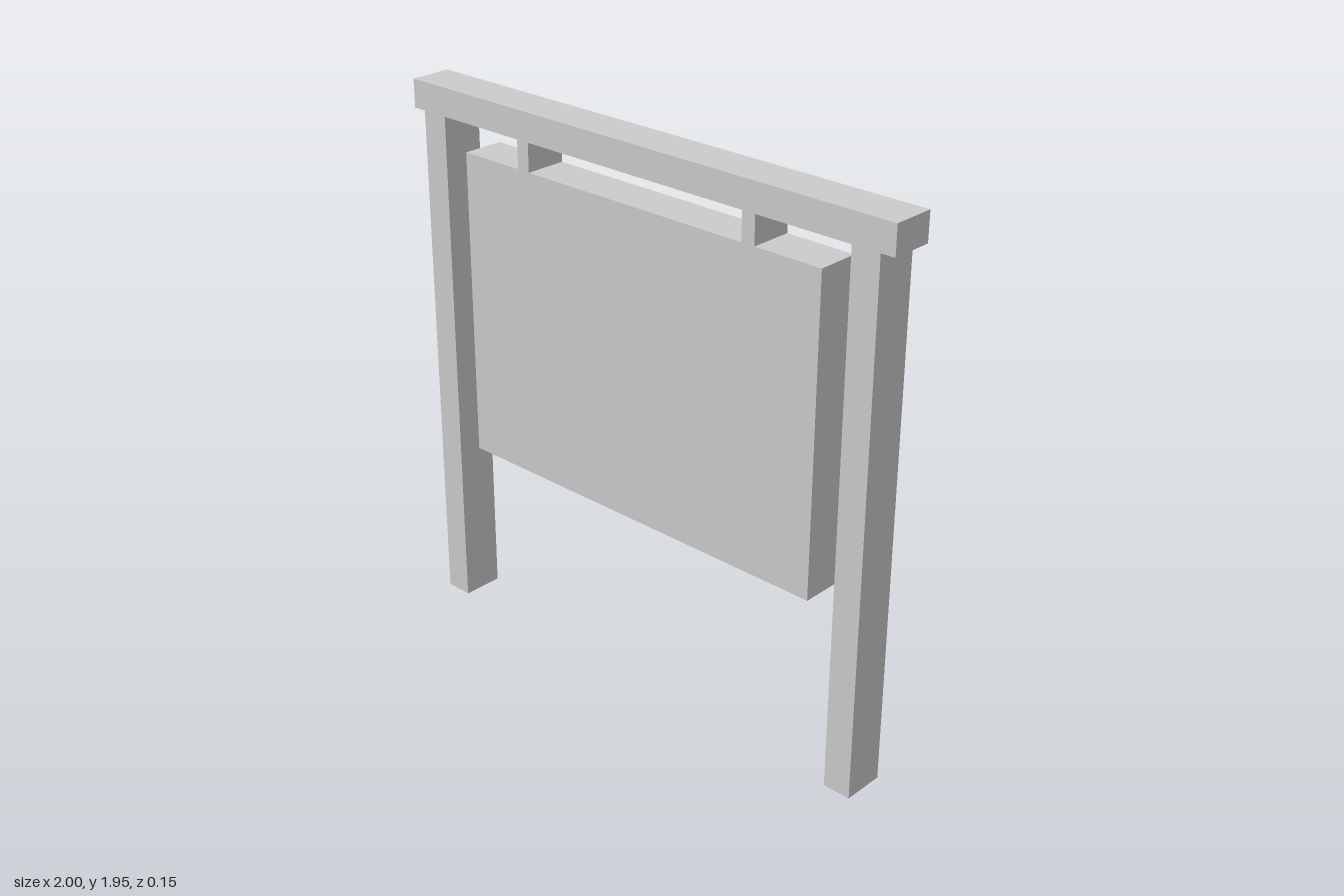
import * as THREE from 'three';

const DEPTH = 0.15;

export function createModel() {
  const group = new THREE.Group();
  const material = new THREE.MeshStandardMaterial({ color: 0xcccccc, flatShading: true });

  // Full-depth board centred on x, spanning bottom to top
  function board(name, x, width, bottom, top) {
    const mesh = new THREE.Mesh(new THREE.BoxGeometry(width, top - bottom, DEPTH), material);
    mesh.position.set(x, (bottom + top) / 2, 0);
    mesh.name = name;
    group.add(mesh);
  }

  board('topBeam', 0, 2, 1.85, 1.95);
  board('signPanel', 0, 1.5, 0.65, 1.75);

  // Posts and panel hangers, mirrored left and right
  for (const [side, s] of [['left', 1], ['right', -1]]) {
    board(`${side}Post`, s * 0.9, 0.1, 0, 1.85);
    board(`${side}Hanger`, s * 0.475, 0.05, 1.75, 1.85);
  }

  return group;
}
